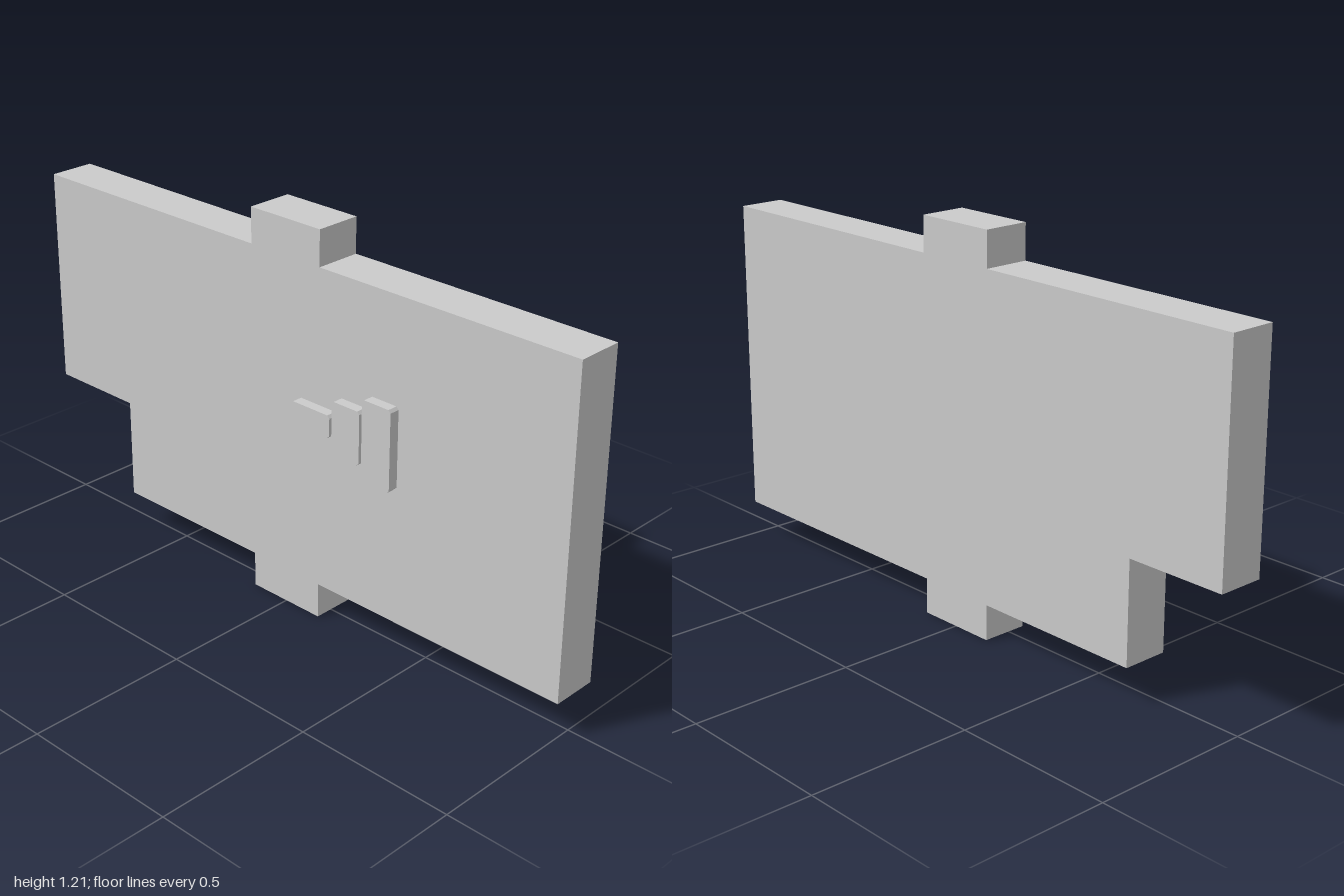
import * as THREE from 'three';

const material = new THREE.MeshStandardMaterial({ color: 0xcccccc, flatShading: true });
const BACK = -0.088, FACE = 0.056, FRONT = 0.088;

// Extrudes a closed outline between two depths
function slab(name, points, z0, z1) {
  const shape = new THREE.Shape(points.map(([x, y]) => new THREE.Vector2(x, y)));
  const geometry = new THREE.ExtrudeGeometry(shape, { depth: z1 - z0, bevelEnabled: false });
  geometry.translate(0, 0, z0);
  const mesh = new THREE.Mesh(geometry, material);
  mesh.name = name;
  return mesh;
}

// Rectangle with small clipped corners
function clippedRect(x0, x1, y0, y1, c = 0.008) {
  return [
    [x0 + c, y0], [x1 - c, y0], [x1, y0 + c], [x1, y1 - c],
    [x1 - c, y1], [x0 + c, y1], [x0, y1 - c], [x0, y0 + c],
  ];
}

export function createModel() {
  const model = new THREE.Group();
  model.name = 'notchedPanel';

  // Panel with a top tab, a bottom tab and a notched lower right corner
  model.add(slab('panel', [
    [-0.685, 0.11], [-0.132, 0.11], [-0.132, 0], [0.13, 0], [0.13, 0.11], [1, 0.11],
    [1, 1.1], [0.13, 1.1], [0.13, 1.208], [-0.132, 1.208], [-0.132, 1.1], [-1, 1.1],
    [-1, 0.425], [-0.685, 0.425],
  ], BACK, FACE));

  // Three raised bars growing taller toward the left
  const bars = new THREE.Group();
  bars.name = 'raisedBars';
  [
    ['shortBar', 0.053, 0.2, 0.62, 0.69],
    ['middleBar', 0.208, 0.311, 0.575, 0.739],
    ['tallBar', 0.32, 0.423, 0.531, 0.781],
  ].forEach(([name, ...size]) => bars.add(slab(name, clippedRect(...size), FACE, FRONT)));
  model.add(bars);

  return model;
}
